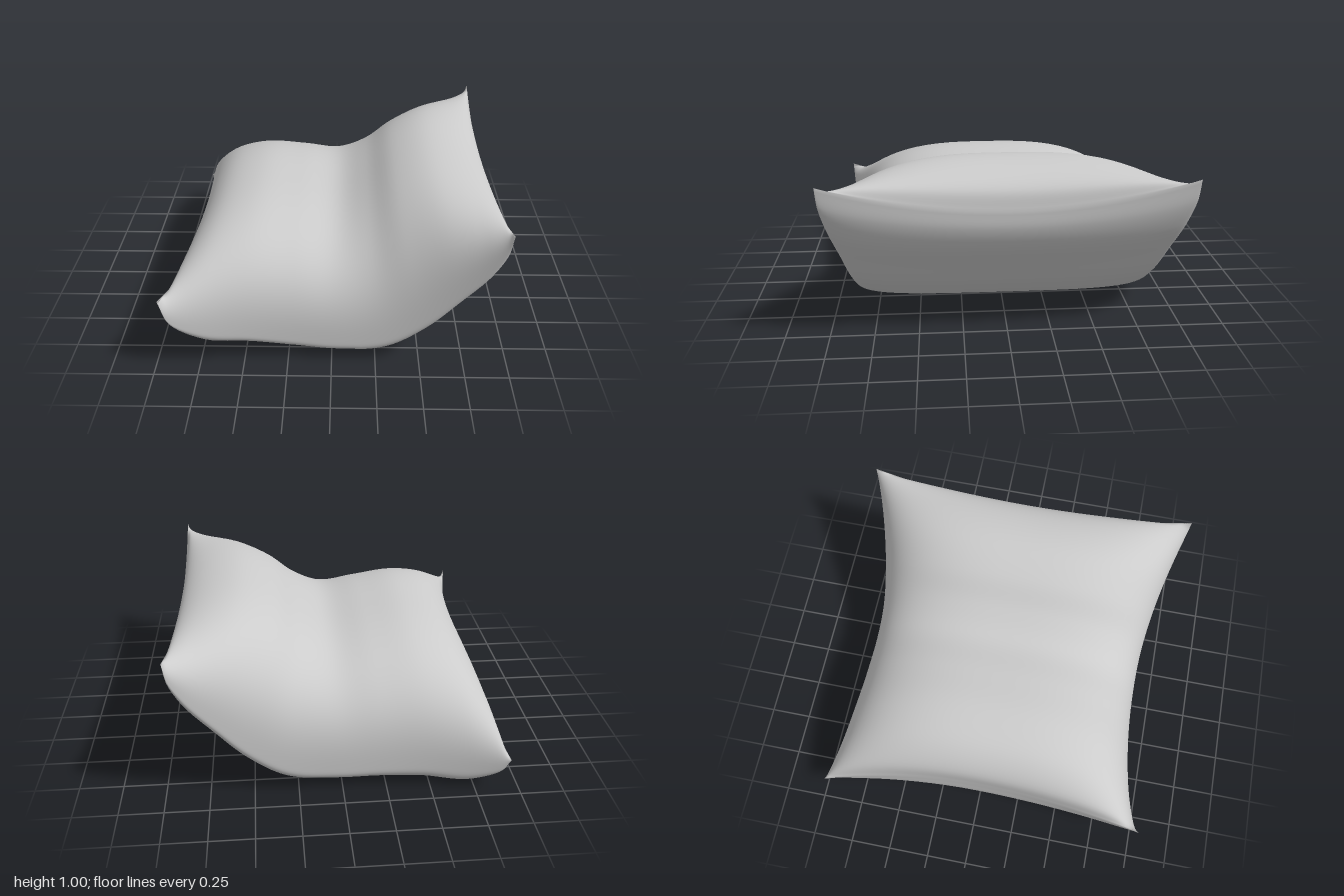
import * as THREE from 'three';
import { mergeVertices } from 'three/addons/utils/BufferGeometryUtils.js';

const NU = 66, NV = 48;

// Lengthwise profiles (x, y) with shared ends: top and bottom along the middle, seam along the sides
const spline = pts => new THREE.CatmullRomCurve3(pts.map(([x, y]) => new THREE.Vector3(x, y, 0)));
const topLine = spline([[-0.81, 0.38], [-0.79, 0.57], [-0.66, 0.72], [-0.45, 0.785], [-0.2, 0.765], [0.03, 0.735],
  [0.2, 0.81], [0.36, 0.93], [0.56, 0.995], [0.77, 0.965], [0.885, 0.89], [0.915, 0.78]]);
const bottomLine = spline([[-0.81, 0.38], [-0.8, 0.16], [-0.67, 0.02], [-0.42, 0.02], [-0.2, 0.012], [0.03, 0.005],
  [0.33, 0.045], [0.55, 0.2], [0.72, 0.39], [0.86, 0.56], [0.91, 0.68], [0.915, 0.78]]);
const seamLine = spline([[-0.81, 0.38], [-0.8, 0.27], [-0.66, 0.2], [-0.45, 0.18], [-0.2, 0.155], [0.03, 0.14],
  [0.29, 0.17], [0.5, 0.3], [0.68, 0.48], [0.82, 0.63], [0.9, 0.73], [0.915, 0.78]]);

// How far the pointed corners are pulled away from the middle of each end
function cornerPull(u, t) {
  const w = u * u * t * t;
  if (u > 0) return [0.015 * w, 0.16 * w];
  return [-0.12 * w, (t > 0 ? 0.13 : -0.16) * w];
}

// Point on one skin: a full, rounded section that narrows to a low seam
function skinPoint(line, i, j) {
  const k = i / NU, u = 2 * k - 1, s = 2 * j / NV - 1;
  const t = Math.sign(s) * (1 - (1 - Math.abs(s)) ** 3);
  const middle = line.getPoint(k), seam = seamLine.getPoint(k);
  const n = THREE.MathUtils.lerp(line === topLine ? 2.8 : 4, u > 0 ? 3 : 2.5, Math.abs(u) ** 3);
  const full = Math.max(0, 1 - Math.abs(t) ** n) ** (1 / n);
  // the underside is lifted towards the raised front left corner
  const lift = line === bottomLine ? 0.4 * Math.max(0, t) ** 2 * Math.sqrt(Math.max(0, -u)) : 0;
  const [px, py] = cornerPull(u, t);
  const x = seam.x + (middle.x - seam.x) * full + px;
  const y = seam.y + (middle.y - seam.y) * full * (1 - lift) + py;
  const flare = x < 0 && t < 0 ? 0.11 : 0.13;
  return [x, Math.max(0, y), t * (0.87 + flare * Math.abs(x / 0.93) ** 2.5)];
}

export function createModel() {
  const position = [], index = [];
  [topLine, bottomLine].forEach((line, side) => {
    const base = position.length / 3;
    for (let i = 0; i <= NU; i++)
      for (let j = 0; j <= NV; j++) position.push(...skinPoint(line, i, j));
    for (let i = 0; i < NU; i++)
      for (let j = 0; j < NV; j++) {
        const a = base + i * (NV + 1) + j, b = a + 1, c = a + NV + 1, d = c + 1;
        if (side === 0) index.push(a, b, c, b, d, c);
        else index.push(a, c, b, b, c, d);
      }
  });
  let geometry = new THREE.BufferGeometry();
  geometry.setAttribute('position', new THREE.Float32BufferAttribute(position, 3));
  geometry.setIndex(index);
  // Join both skins along the seam
  geometry = mergeVertices(geometry, 1e-4);
  geometry.computeVertexNormals();

  const cushion = new THREE.Mesh(geometry, new THREE.MeshStandardMaterial({ color: 0xcccccc }));
  cushion.name = 'beanBagCushion';
  const group = new THREE.Group();
  group.name = 'beanBag';
  group.add(cushion);
  return group;
}
